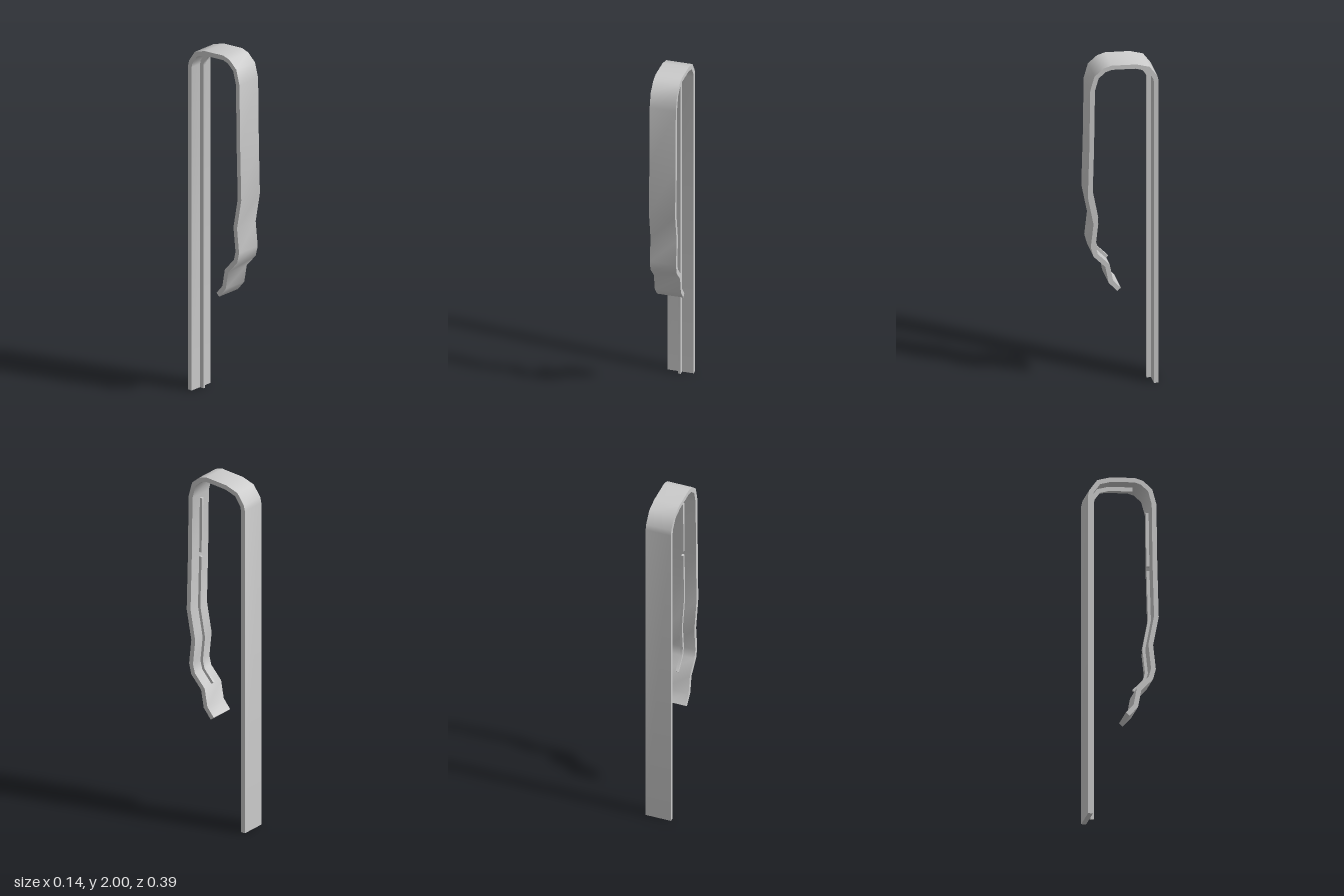
import * as THREE from 'three';
import { toCreasedNormals } from 'three/addons/utils/BufferGeometryUtils.js';

const WIDTH = 0.145, THICK = 0.026, RIB = 0.014;

// Outer line of the bent strip as [z, y], from the foot of the back leg, over the top, to the front lip
const back = [[-0.193, 0], [-0.193, 1.87], [-0.186, 1.9], [-0.143, 1.963], [-0.07, 1.988]];
const crown = [[0.065, 2], [0.11, 1.988], [0.16, 1.945], [0.183, 1.86]];
const front = [[0.188, 1.5], [0.196, 1.2], [0.165, 1.03], [0.18, 0.89], [0.165, 0.83], [0.1, 0.757]];
const lip = [[0.082, 0.657], [0.035, 0.6]];

// Shift a polyline to its inner side with mitred joints
function offset(points, d) {
  const normal = (a, b) => new THREE.Vector2(b[1] - a[1], a[0] - b[0]).normalize();
  return points.map((p, i) => {
    const n1 = normal(points[Math.max(i - 1, 0)], points[Math.max(i, 1)]);
    const last = points.length - 1;
    const n2 = normal(points[Math.min(i, last - 1)], points[Math.min(i + 1, last)]);
    const m = n1.clone().add(n2).normalize();
    return m.multiplyScalar(d / m.dot(n1)).add(new THREE.Vector2(...p));
  });
}

// Band between two offsets of a line, extruded across x
function band(name, points, from, to, width, material) {
  const shape = new THREE.Shape([...offset(points, from), ...offset(points, to).reverse()]);
  const geometry = new THREE.ExtrudeGeometry(shape, { depth: width, bevelEnabled: false });
  geometry.translate(0, 0, -width / 2);
  geometry.rotateY(-Math.PI / 2);
  const mesh = new THREE.Mesh(toCreasedNormals(geometry, 0.72), material);
  mesh.name = name;
  return mesh;
}

export function createModel() {
  const group = new THREE.Group();
  group.name = 'springClip';
  const material = new THREE.MeshStandardMaterial({ color: 0xcccccc });

  // Bent strip
  group.add(band('strip', [...back, ...crown, ...front, ...lip], 0, THICK, WIDTH, material));

  // Thin stiffening ribs along the inner face
  const ribs = [
    ['backRib', [...back, crown[0]], 0.05],
    ['upperFrontRib', [[0.1834, 1.835], [0.1877, 1.52]], 0.042],
    ['lowerFrontRib', [[0.188, 1.495], ...front.slice(1)], 0.042],
  ];
  for (const [name, points, depth] of ribs) {
    group.add(band(name, points, THICK - 0.002, depth, RIB, material));
  }
  return group;
}
